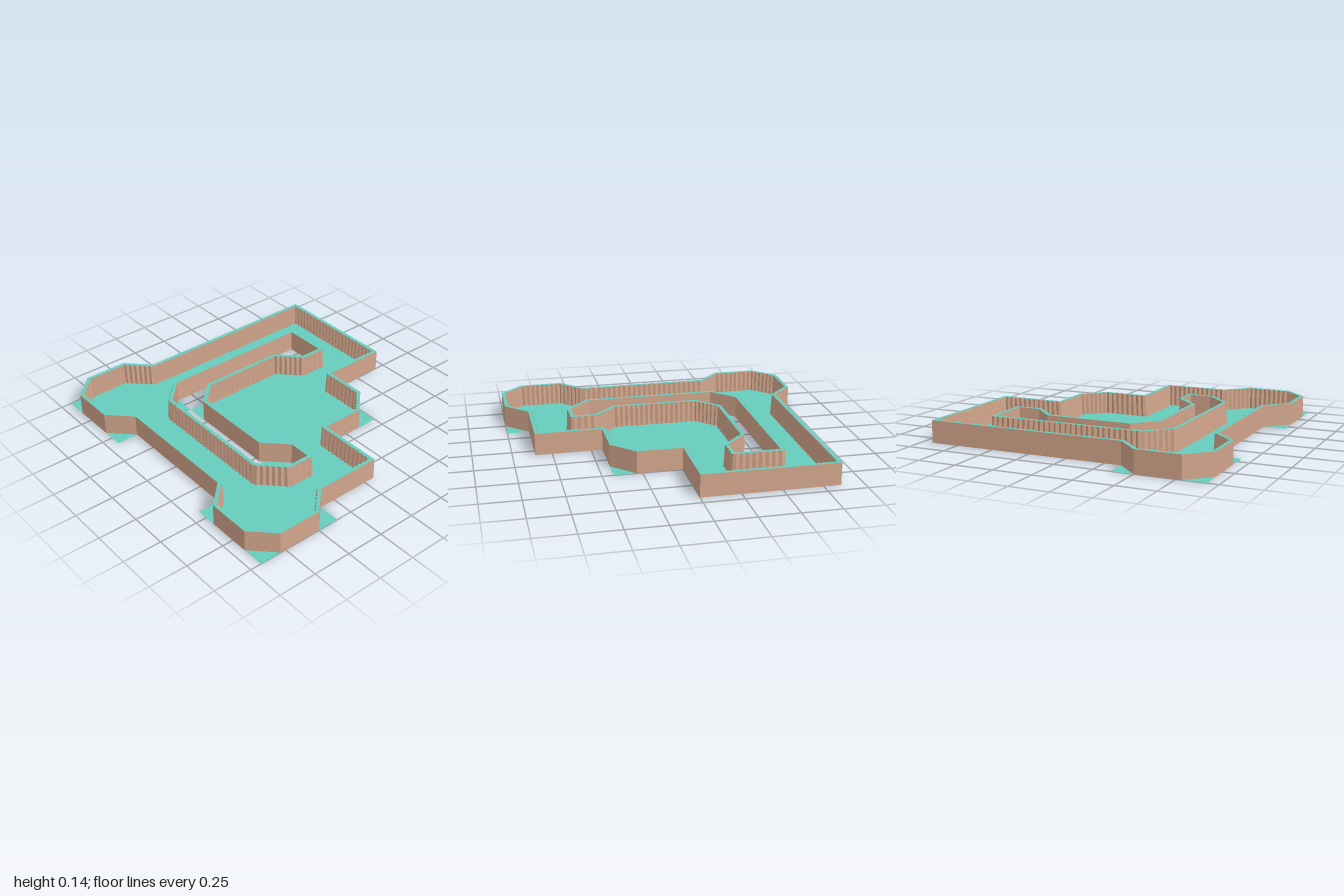
import * as THREE from 'three';

const U = 1 / 7; // one plan square
const HEIGHT = U;
const TEAL = new THREE.MeshStandardMaterial({ color: 0x66cdbe, flatShading: true, side: THREE.DoubleSide });
const BROWN = new THREE.MeshStandardMaterial({ color: 0xd2a58b, flatShading: true, side: THREE.DoubleSide });

// Floor rectangles in plan squares: x0, z0, x1, z1
const FLOORS = {
  backRoomFloor: [-6.5, -7, -2.5, -3],
  frontRoomFloor: [-6.5, 3, -2.5, 7],
  centreRoomFloor: [-2.5, -3, 3.5, 3],
  sideCorridorFloor: [-5.5, -3, -3.5, 3],
  backCorridorFloor: [-2.5, -6, 6.5, -4],
  leftCorridorFloor: [4.5, -4, 6.5, 0],
  leftDoorwayFloor: [3.5, -2, 4.5, 0],
  frontCorridorFloor: [-2.5, 4, 0.5, 6],
  frontDoorwayFloor: [-1.5, 3, 0.5, 4],
};

// Wall loops in plan squares, floor always on the same hand
const OUTER = [
  [-5.5, -7], [-3.5, -7], [-2.5, -6], [6.5, -6], [6.5, 0], [3.5, 0], [3.5, 2], [2.5, 3], [0.5, 3], [0.5, 6],
  [-2.5, 6], [-3.5, 7], [-5.5, 7], [-6.5, 6], [-6.5, 4], [-5.5, 3], [-5.5, -3], [-6.5, -4], [-6.5, -6],
];
const INNER = [
  [-2.5, -4], [4.5, -4], [4.5, -2], [3.5, -2], [2.5, -3], [-1.5, -3], [-2.5, -2], [-2.5, 2], [-1.5, 3],
  [-1.5, 4], [-2.5, 4], [-3.5, 3], [-3.5, -3],
].reverse();

// Unit normal of a segment, pointing to the floor side
function floorNormal(a, b) {
  const d = b.clone().sub(a).normalize();
  return new THREE.Vector2(-d.y, d.x);
}

// Mitred offset of a closed loop
function inset(loop, dist) {
  const n = loop.length;
  return loop.map((p, i) => {
    const n0 = floorNormal(loop[(i + n - 1) % n], p);
    const n1 = floorNormal(p, loop[(i + 1) % n]);
    return p.clone().addScaledVector(n0.clone().add(n1), dist / (1 + n0.dot(n1)));
  });
}

// Line along a loop at height y, with optional pleats four to a square
function wallLine(base, dist, pleat, y) {
  const loop = inset(base, dist);
  const out = [];
  loop.forEach((p, i) => {
    const j = (i + 1) % loop.length;
    const normal = floorNormal(base[i], base[j]);
    const steps = 2 * Math.round((base[i].distanceTo(base[j]) / U) * 4);
    for (let k = 0; k < steps; k++) {
      const q = p.clone().lerp(loop[j], k / steps).addScaledVector(normal, k % 2 ? pleat : 0);
      out.push(new THREE.Vector3(q.x, y, q.y));
    }
  });
  return out;
}

// Closed ribbon between two matching lines
function ribbon(name, a, b, material) {
  const pos = [];
  a.forEach((p, i) => {
    const j = (i + 1) % a.length;
    for (const v of [p, b[i], b[j], p, b[j], a[j]]) pos.push(v.x, v.y, v.z);
  });
  const geo = new THREE.BufferGeometry();
  geo.setAttribute('position', new THREE.Float32BufferAttribute(pos, 3));
  geo.computeVertexNormals();
  const mesh = new THREE.Mesh(geo, material);
  mesh.name = name;
  return mesh;
}

// Wall: plain outside, teal coping, pleated and slightly sloping inside
function wall(name, squares) {
  const loop = squares.map(([x, z]) => new THREE.Vector2(x * U, z * U));
  const foot = wallLine(loop, 0, 0, 0);
  const top = wallLine(loop, 0, 0, HEIGHT);
  const innerTop = wallLine(loop, 0.019, 0.009, HEIGHT);
  const innerFoot = wallLine(loop, 0.025, 0.009, 0);
  const group = new THREE.Group();
  group.name = name;
  group.add(
    ribbon(name + 'Outside', foot, top, BROWN),
    ribbon(name + 'Coping', top, innerTop, TEAL),
    ribbon(name + 'PleatedFace', innerTop, innerFoot, BROWN),
  );
  return group;
}

export function createModel() {
  const model = new THREE.Group();
  model.name = 'dungeonPlan';

  // Flat floors
  for (const [name, [x0, z0, x1, z1]] of Object.entries(FLOORS)) {
    const geo = new THREE.PlaneGeometry((x1 - x0) * U, (z1 - z0) * U).rotateX(-Math.PI / 2);
    const floor = new THREE.Mesh(geo, TEAL);
    floor.position.set(((x0 + x1) / 2) * U, 0, ((z0 + z1) / 2) * U);
    floor.name = name;
    model.add(floor);
  }

  // Outer wall and the wall around the courtyard gap
  model.add(wall('outerWall', OUTER), wall('innerWall', INNER));
  return model;
}
